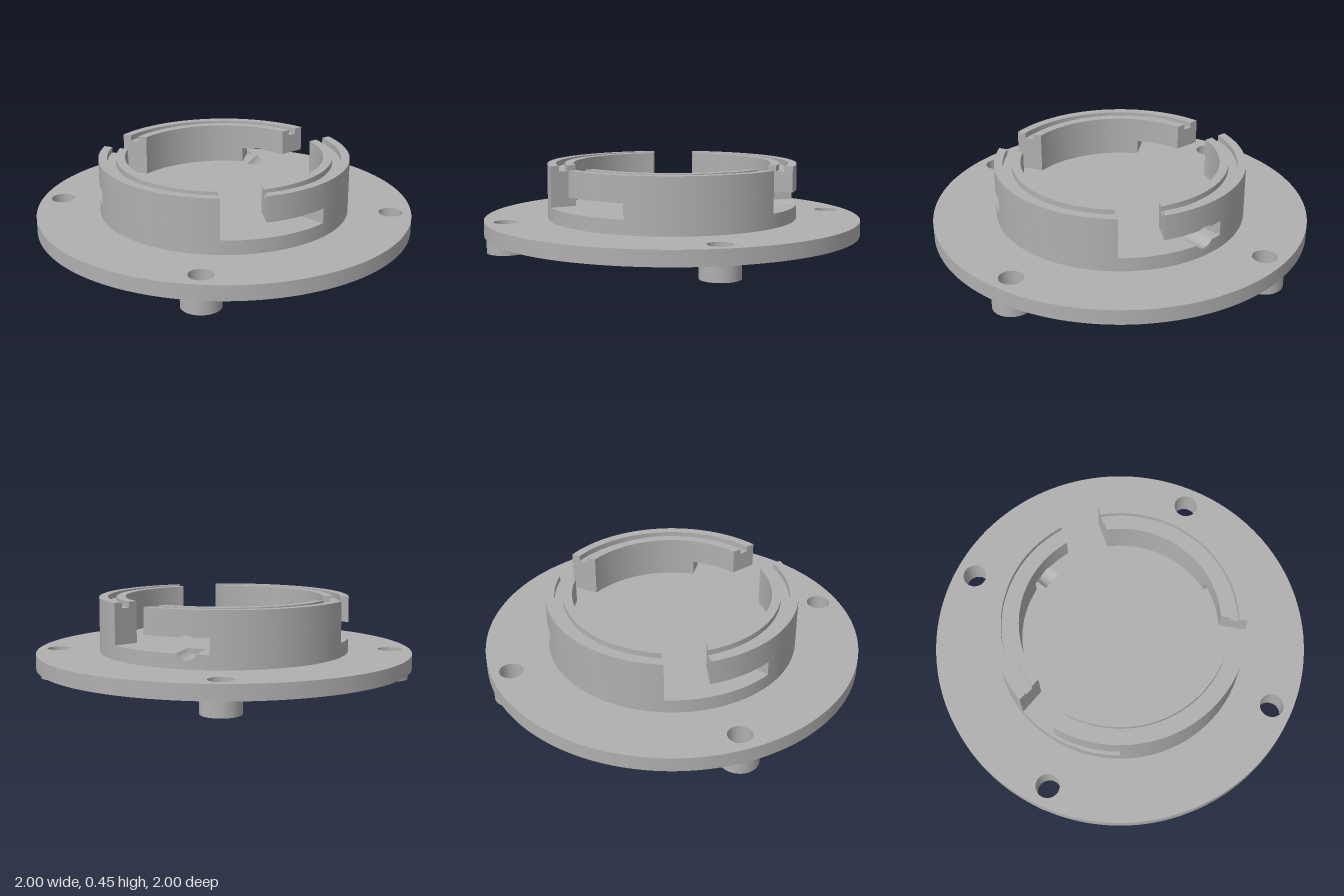
import * as THREE from 'three';
import { toCreasedNormals } from 'three/addons/utils/BufferGeometryUtils.js';

const DEG = Math.PI / 180;
const R_OUT = 0.664, R_IN = 0.525;      // bayonet collar radii
const SLOT = 0.113;                     // half width of the entry slots
const FLOOR = 0.235, CEIL = 0.315, TOP = 0.45;
const DETENT = { angle: 30 * DEG, y: 0.265, r: 0.06 };

export function createModel() {
  const model = new THREE.Group();
  model.name = 'bayonetMountPlate';
  const grey = new THREE.MeshStandardMaterial({ color: 0xb0b0b0 });
  grey.name = 'grey';

  function add(name, geometry) {
    const mesh = new THREE.Mesh(toCreasedNormals(geometry, 0.5), grey);
    mesh.name = name;
    model.add(mesh);
    return mesh;
  }

  // Flat outline raised from y0 to y1
  function slab(name, shape, y0, y1) {
    const g = new THREE.ExtrudeGeometry(shape, { depth: y1 - y0, bevelEnabled: false, curveSegments: 96 });
    g.rotateX(-Math.PI / 2);
    g.translate(0, y0, 0);
    return add(name, g);
  }

  function disc(r, x = 0, y = 0) {
    return new THREE.Shape().absarc(x, y, r, 0, Math.PI * 2, false);
  }

  function hole(r, x, y) {
    return new THREE.Path().absarc(x, y, r, 0, Math.PI * 2, true);
  }

  // Ring piece; each end is an angle plus a sideways offset, so slots keep parallel sides
  function sector(r0, r1, a0, off0, a1, off1, n = 40) {
    const pts = [];
    const arc = (r, from, to) => {
      const s = a0 + Math.asin(off0 / r), e = a1 + Math.asin(off1 / r);
      for (let i = 0; i <= n; i++) {
        const a = s + (e - s) * (from + (to - from) * i / n);
        pts.push(new THREE.Vector2(Math.cos(a) * r, Math.sin(a) * r));
      }
    };
    arc(r1, 0, 1);
    arc(r0, 1, 0);
    return new THREE.Shape(pts);
  }

  // Flange with four through holes and hollow feet
  const flange = disc(1);
  for (const x of [-0.63, 0.63]) {
    for (const z of [-0.63, 0.63]) {
      flange.holes.push(hole(0.063, x, z));
      const foot = disc(0.1, x, z);
      foot.holes.push(hole(0.063, x, z));
      slab('foot', foot, 0, 0.08);
    }
  }
  slab('flange', flange, 0.08, 0.16);

  // Raised floor, its upper layer notched for the detent
  const { angle, y: dy, r: dr } = DETENT;
  const lowY = 0.2, highY = 0.33;
  const wLow = Math.sqrt(dr * dr - (dy - FLOOR) ** 2);
  const wHigh = Math.sqrt(dr * dr - (CEIL - dy) ** 2);
  slab('floorBase', disc(R_OUT), 0.16, lowY);
  const floorPts = [];
  const da = Math.asin(wLow / R_OUT);
  for (let i = 0; i <= 120; i++) {
    const a = angle + da + (Math.PI * 2 - 2 * da) * i / 120;
    floorPts.push(new THREE.Vector2(Math.cos(a) * R_OUT, Math.sin(a) * R_OUT));
  }
  for (const w of [-wLow, wLow]) {
    floorPts.push(new THREE.Vector2(0.485, w).rotateAround(new THREE.Vector2(), angle));
  }
  slab('floor', new THREE.Shape(floorPts), lowY, FLOOR);

  // Curved detent surfaces that fill the notches
  function detentFill(name, yFlat, yEdge, w, r0) {
    const pts = [new THREE.Vector2(-w, yFlat), new THREE.Vector2(w, yFlat)];
    const sign = Math.sign(yEdge - dy);
    for (let i = 0; i <= 12; i++) {
      const x = w - 2 * w * i / 12;
      pts.push(new THREE.Vector2(x, dy + sign * Math.sqrt(dr * dr - x * x)));
    }
    const g = new THREE.ExtrudeGeometry(new THREE.Shape(pts), { depth: R_OUT - 0.002 - r0, bevelEnabled: false });
    g.translate(0, 0, r0);
    g.rotateY(Math.PI / 2 + angle);
    add(name, g);
  }
  detentFill('detentGroove', lowY, FLOOR, wLow, 0.485);
  detentFill('detentRoof', highY, CEIL, wHigh, R_IN);

  // Three collar segments, each undercut beside its entry slot
  for (let i = 0; i < 3; i++) {
    const a0 = i * 120 * DEG, a1 = a0 + 120 * DEG;
    const full = (r0, r1) => sector(r0, r1, a0, SLOT, a1, -SLOT);
    slab('collarStop', sector(R_IN, R_OUT, a0 + 40 * DEG, 0, a1, -SLOT), FLOOR, CEIL);
    if (i === 0) {
      slab('collarLip', sector(R_IN, R_OUT, a0, SLOT, angle, -wHigh), CEIL, highY);
      slab('collarLip', sector(R_IN, R_OUT, angle, wHigh, a1, -SLOT), CEIL, highY);
    } else {
      slab('collarLip', full(R_IN, R_OUT), CEIL, highY);
    }
    slab('collarWall', full(R_IN, R_OUT), highY, 0.42);
    // Rims on either side of the seal groove
    slab('innerRim', full(R_IN, 0.572), 0.42, TOP);
    slab('outerRim', full(0.618, R_OUT), 0.42, TOP);
  }
  return model;
}
